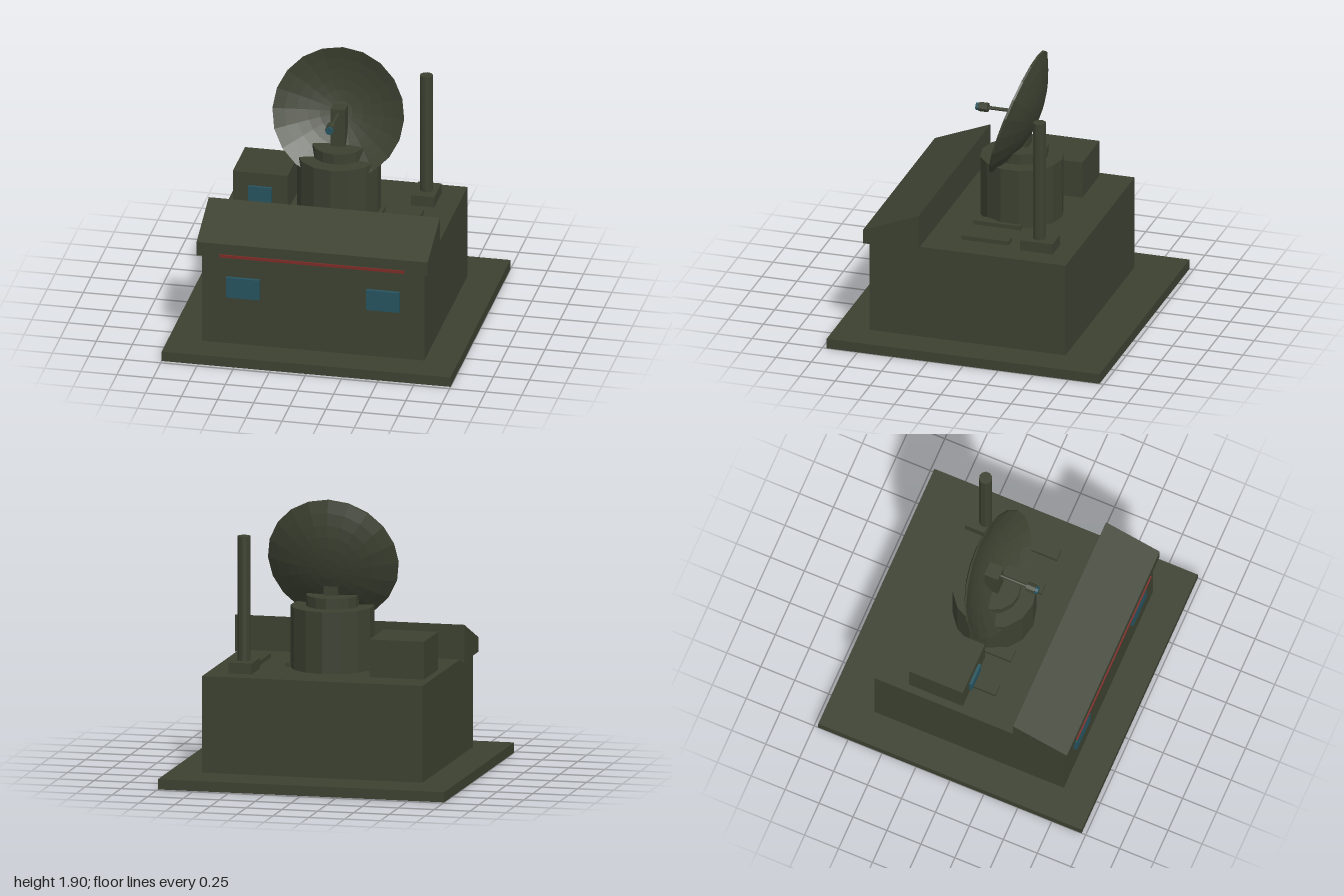
import * as THREE from 'three';

const paint = (name, color, extra = {}) => {
  const m = new THREE.MeshStandardMaterial({ color, flatShading: true, ...extra });
  m.name = name;
  return m;
};

export function createModel() {
  const model = new THREE.Group();
  model.name = 'radarStation';
  const olive = paint('olive', 0x3c4131);
  const glass = paint('blueGlass', 0x26535e);
  const red = paint('redTrim', 0x7a2c25);

  const add = (name, geometry, material, x = 0, y = 0, z = 0, parent = model) => {
    const mesh = new THREE.Mesh(geometry, material);
    mesh.name = name;
    mesh.position.set(x, y, z);
    parent.add(mesh);
    return mesh;
  };
  // box given by its limits on each axis
  const box = (name, material, [x0, x1], [y0, y1], [z0, z1]) =>
    add(name, new THREE.BoxGeometry(x1 - x0, y1 - y0, z1 - z0), material,
      (x0 + x1) / 2, (y0 + y1) / 2, (z0 + z1) / 2);
  // upright cylinder between two heights
  const post = (name, r, sides, y0, y1, x, z) =>
    add(name, new THREE.CylinderGeometry(r, r, y1 - y0, sides), olive, x, (y0 + y1) / 2, z);
  // cylinder lying along z
  const rod = (name, material, r, sides, z0, z1, y) => {
    const mesh = add(name, new THREE.CylinderGeometry(r, r, z1 - z0, sides), material, 0, y, (z0 + z1) / 2);
    mesh.rotation.x = Math.PI / 2;
  };

  // foundation and building
  const roof = 0.735;
  box('foundation', olive, [-1, 1], [0, 0.07], [-0.97, 0.97]);
  box('building', olive, [-0.77, 0.77], [0.07, roof], [-0.655, 0.74]);

  // sloped canopy over the front
  const profile = new THREE.Shape([[0.38, 0.72], [0.775, 0.72], [0.775, 0.82], [0.38, 0.975]]
    .map(([z, y]) => new THREE.Vector2(z, y)));
  const canopy = add('canopy', new THREE.ExtrudeGeometry(profile, { depth: 1.6, bevelEnabled: false }), olive, 0.8);
  canopy.rotation.y = -Math.PI / 2;
  box('redStrip', red, [-0.64, 0.64], [0.724, 0.744], [0.765, 0.785]);

  // front windows
  for (const s of [-1, 1]) {
    const xs = [s * 0.37, s * 0.6].sort((a, b) => a - b);
    box('frontWindow', glass, xs, [0.42, 0.567], [0.735, 0.765]);
  }

  // roof cabinet with its window
  box('cabinet', olive, [-0.72, -0.34], [roof, 0.995], [-0.42, -0.025]);
  box('cabinetWindow', glass, [-0.61, -0.45], [0.79, 0.9], [-0.03, -0.005]);

  // roof rails
  for (const x of [-0.53, -0.265, 0.265, 0.53]) {
    box('roofRail', olive, [x - 0.04, x + 0.04], [roof, 0.765], [-0.185, 0.15]);
  }

  // mast on its block
  box('mastBase', olive, [0.46, 0.62], [roof, 0.81], [-0.515, -0.285]);
  post('mast', 0.045, 10, 0.81, 1.665, 0.542, -0.397);

  // turntable under the dish
  post('pedestal', 0.285, 14, roof, 1.16, 0, -0.1);
  post('turntable', 0.18, 14, 1.16, 1.235, 0, -0.1);
  box('dishMount', olive, [-0.05, 0.05], [1.235, 1.508], [-0.153, -0.053]);

  // dish: outer bowl, rim, then inner bowl, as one closed profile
  const rim = 0.455, steps = 6, points = [];
  const bowl = (t, depth, edge) => new THREE.Vector2(rim * t, edge - depth * (1 - t * t));
  for (let i = 0; i <= steps; i++) points.push(bowl(i / steps, 0.135, -0.015));
  for (let i = steps; i >= 0; i--) points.push(bowl(i / steps, 0.13, 0));
  const dish = add('dish', new THREE.LatheGeometry(points, 20), olive, 0, 1.472, -0.066);
  dish.rotation.x = THREE.MathUtils.degToRad(72);

  // feed arm
  rod('feedArm', olive, 0.013, 8, -0.06, 0.15, 1.472);
  rod('feedHorn', olive, 0.034, 8, 0.14, 0.203, 1.472);
  rod('feedTip', glass, 0.027, 8, 0.2, 0.225, 1.472);

  return model;
}
